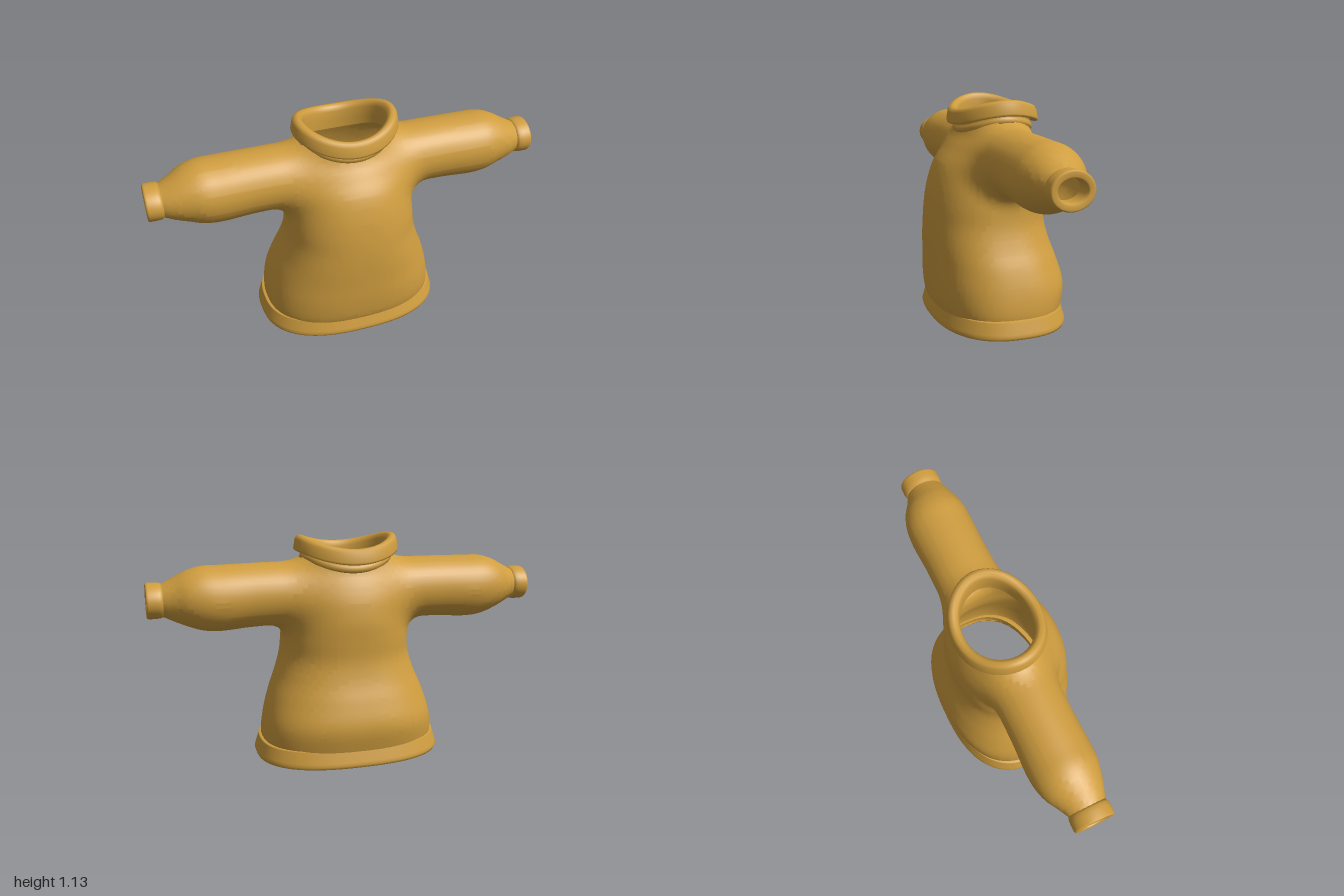
import * as THREE from 'three';

const wool = new THREE.MeshStandardMaterial({ color: 0xcf9d3f, side: THREE.DoubleSide });
wool.name = 'ochre wool';

// Torso rows: height, half width, front z, back z, roundness exponent
const TORSO = [
  [0.03, 0.435, 0.295, -0.31, 2.5], [0.09, 0.45, 0.322, -0.328, 2.5], [0.2, 0.438, 0.337, -0.345, 2.5],
  [0.32, 0.405, 0.342, -0.315, 2.4], [0.42, 0.365, 0.345, -0.28, 2.4], [0.52, 0.337, 0.344, -0.26, 2.3],
  [0.62, 0.328, 0.335, -0.262, 2.3], [0.72, 0.32, 0.317, -0.265, 2.2], [0.82, 0.31, 0.28, -0.25, 2.1],
  [0.9, 0.28, 0.22, -0.218, 2], [0.96, 0.24, 0.172, -0.19, 2], [1.03, 0.205, 0.16, -0.18, 2],
];
// Sleeve rows: distance from the middle, bottom y, top y, front z, back z
const SLEEVE = [
  [0.3, 0.69, 1.005, 0.16, -0.17], [0.5, 0.685, 1.003, 0.155, -0.17], [0.66, 0.675, 1.0, 0.158, -0.176],
  [0.74, 0.684, 0.998, 0.155, -0.17], [0.81, 0.708, 0.978, 0.138, -0.15], [0.87, 0.732, 0.947, 0.12, -0.115],
  [0.92, 0.756, 0.921, 0.1, -0.09], [0.95, 0.765, 0.91, 0.085, -0.075],
];

// Smooth interpolation between the rows of a table
function sample(rows, t) {
  const last = rows.length - 1;
  if (t <= rows[0][0]) return rows[0];
  if (t >= rows[last][0]) return rows[last];
  let i = 0;
  while (t > rows[i + 1][0]) i++;
  const p = rows[i], q = rows[i + 1], h = q[0] - p[0], s = (t - p[0]) / h;
  const slope = (j, c) => {
    const a = rows[Math.max(j - 1, 0)], b = rows[Math.min(j + 1, last)];
    return (b[c] - a[c]) / (b[0] - a[0]);
  };
  return p.map((v, c) => {
    const s2 = s * s, s3 = s2 * s;
    return v * (2 * s3 - 3 * s2 + 1) + q[c] * (3 * s2 - 2 * s3)
      + h * (slope(i, c) * (s3 - 2 * s2 + s) + slope(i + 1, c) * (s3 - s2));
  });
}

// Approximate distance to the torso and sleeves, blended at the armholes
function field(x, y, z) {
  const [, a, front, back, n] = sample(TORSO, y);
  const b = (front - back) / 2, cz = (front + back) / 2;
  const r = (Math.abs(x / a) ** n + Math.abs((z - cz) / b) ** n) ** (1 / n);
  const torso = (r - 1) * Math.min(a, b);
  const [, lo, hi, sf, sb] = sample(SLEEVE, Math.abs(x));
  const ry = (hi - lo) / 2, rz = (sf - sb) / 2;
  const sleeve = (Math.hypot((y - (hi + lo) / 2) / ry, (z - (sf + sb) / 2) / rz) - 1) * Math.min(ry, rz);
  const k = 0.1, blend = Math.max(k - Math.abs(torso - sleeve), 0) / k;
  return Math.min(torso, sleeve) - blend * blend * k / 4;
}

// Skin the field with quads; the grid limits leave hem, neck and wrists open
function skin(f, min, step, cells) {
  const corner = (p) => p.map((v, i) => min[i] + v * step);
  const dims = cells.map((c) => c + 1);
  const id = (p) => (p[0] * dims[1] + p[1]) * dims[2] + p[2];
  const values = new Float32Array(dims[0] * dims[1] * dims[2]);
  const each = (size, fn) => {
    for (let i = 0; i < size[0]; i++)
      for (let j = 0; j < size[1]; j++)
        for (let k = 0; k < size[2]; k++) fn([i, j, k]);
  };
  each(dims, (p) => { values[id(p)] = f(...corner(p)); });

  // One vertex per crossed cell, pulled on to the surface
  const positions = [], vertexOf = new Map(), e = 0.002;
  each(cells, (p) => {
    let inside = 0;
    for (let c = 0; c < 8; c++)
      if (values[id([p[0] + (c & 1), p[1] + ((c >> 1) & 1), p[2] + (c >> 2)])] < 0) inside++;
    if (inside === 0 || inside === 8) return;
    const q = corner(p.map((v) => v + 0.5));
    for (let n = 0; n < 5; n++) {
      const d = f(...q);
      const g = [0, 1, 2].map((i) => {
        const up = q.slice(), down = q.slice();
        up[i] += e; down[i] -= e;
        return (f(...up) - f(...down)) / (2 * e);
      });
      const len2 = Math.max(g[0] ** 2 + g[1] ** 2 + g[2] ** 2, 0.1);
      for (let i = 0; i < 3; i++) q[i] -= THREE.MathUtils.clamp(d * g[i] / len2, -step, step);
    }
    vertexOf.set(id(p), positions.length / 3);
    positions.push(...q);
  });

  // One quad around every crossed grid edge
  const index = [];
  each(dims, (p) => {
    for (let d = 0; d < 3; d++) {
      const u = (d + 1) % 3, v = (d + 2) % 3;
      if (p[d] >= cells[d] || p[u] < 1 || p[v] < 1 || p[u] >= cells[u] || p[v] >= cells[v]) continue;
      const next = p.slice();
      next[d]++;
      const here = values[id(p)] < 0;
      if (here === values[id(next)] < 0) continue;
      const [a, b, c, w] = [[1, 1], [0, 1], [0, 0], [1, 0]].map(([du, dv]) => {
        const cell = p.slice();
        cell[u] -= du; cell[v] -= dv;
        return vertexOf.get(id(cell));
      });
      if (here) index.push(a, b, c, a, c, w);
      else index.push(a, c, b, a, w, c);
    }
  });
  return buildGeometry(positions, index);
}

function buildGeometry(positions, index) {
  const geometry = new THREE.BufferGeometry();
  geometry.setAttribute('position', new THREE.Float32BufferAttribute(positions, 3));
  geometry.setIndex(index);
  geometry.computeVertexNormals();
  return geometry;
}

// Sweep a profile of [offset, height] points round a ring given by place()
function band(profile, place, segments = 72) {
  const positions = [], index = [], n = profile.length;
  for (let s = 0; s < segments; s++)
    for (const [o, h] of profile) positions.push(...place(o, h, (s / segments) * Math.PI * 2));
  for (let s = 0; s < segments; s++)
    for (let i = 0; i < n - 1; i++) {
      const a = s * n + i, b = ((s + 1) % segments) * n + i;
      index.push(a, a + 1, b, b, a + 1, b + 1);
    }
  return buildGeometry(positions, index);
}

const power = (v, n) => Math.sign(v) * Math.abs(v) ** (2 / n);

export function createModel() {
  const group = new THREE.Group();
  const add = (name, geometry) => {
    const mesh = new THREE.Mesh(geometry, wool);
    mesh.name = name;
    group.add(mesh);
    return mesh;
  };

  add('bodyAndSleeves', skin(field, [-0.95, 0.03, -0.4], 0.025, [76, 40, 32]));

  // Hem: flared band with a thick rim
  add('hem', band(
    [[-0.045, 0.092], [-0.022, 0.092], [-0.02, 0.085], [-0.004, 0.03], [0, 0.015], [-0.004, 0.002], [-0.012, 0],
      [-0.026, 0], [-0.034, 0.008], [-0.04, 0.03], [-0.045, 0.092]],
    (o, h, t) => [(0.485 + o) * power(Math.cos(t), 2.5), h, -0.005 + (0.34 + o) * power(Math.sin(t), 2.5)], 96));

  // Collar: folded-over roll, dipping at front and back, above a short stand
  add('collar', band(
    [[0.002, -0.125], [0, -0.08], [0, -0.03], [0.008, -0.008], [0.025, 0], [0.043, -0.004], [0.053, -0.02],
      [0.061, -0.065], [0.058, -0.075], [0.048, -0.077], [0.035, -0.068], [0.022, -0.062],
      [0.018, -0.08], [0.026, -0.088], [0.03, -0.1], [0.028, -0.115], [0.015, -0.122], [0.002, -0.125]],
    (o, h, t) => [(0.207 + o) * Math.cos(t), 1.08 + 0.055 * Math.cos(t) ** 2 + h,
      -0.01 + (0.168 + o) * Math.sin(t)], 96));

  // Cuffs: thick rings round the wrists
  for (const side of [1, -1]) {
    add(side > 0 ? 'leftCuff' : 'rightCuff', band(
      [[-0.03, 0.915], [-0.008, 0.922], [-0.002, 0.935], [0, 0.955], [0, 0.99], [-0.003, 0.998], [-0.008, 1],
        [-0.028, 1], [-0.034, 0.995], [-0.037, 0.98], [-0.036, 0.915], [-0.03, 0.915]],
      (o, h, t) => [side * h, 0.838 + (0.088 + o) * Math.cos(t), 0.006 + (0.103 + o) * Math.sin(t)], 48));
  }
  return group;
}
